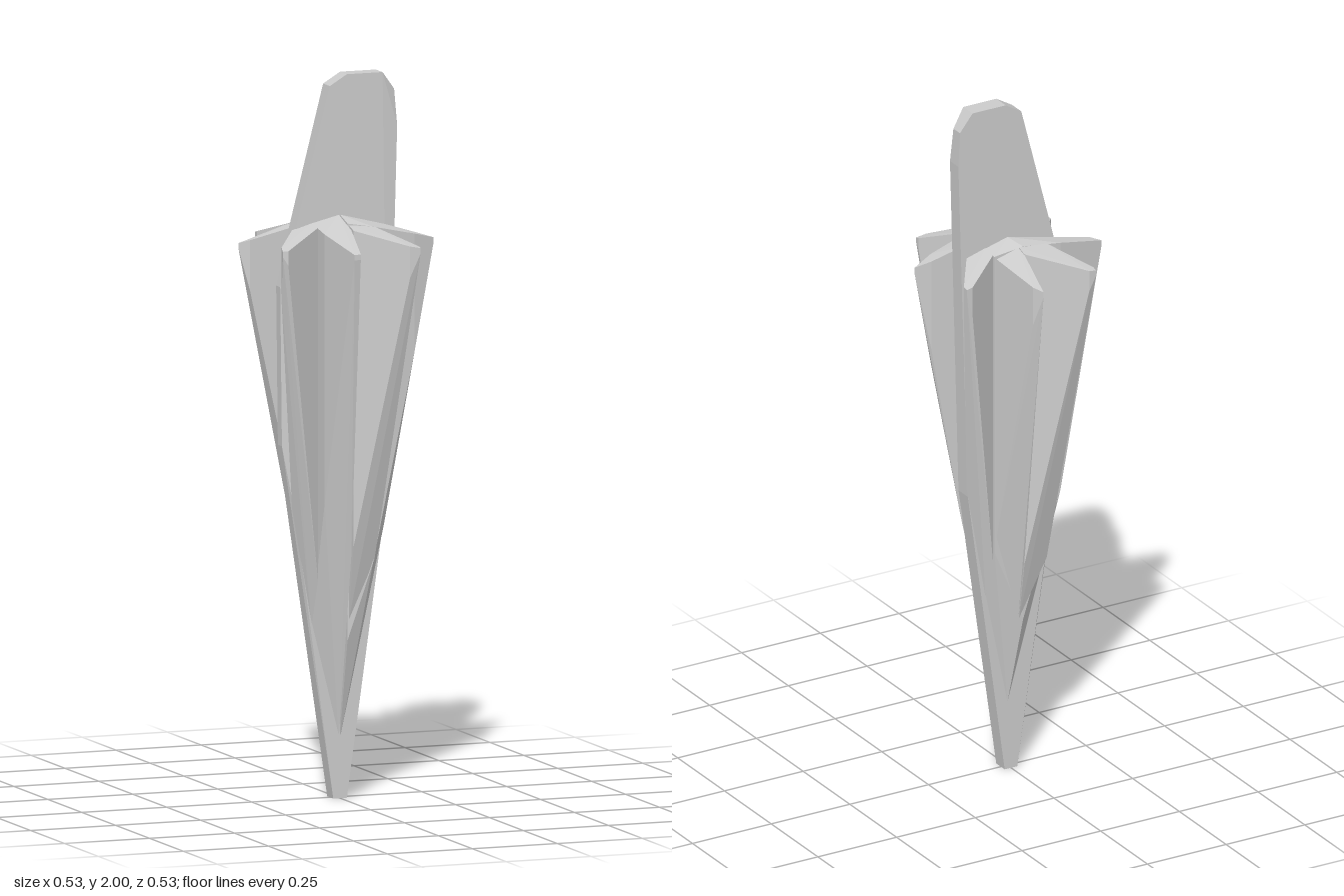
import * as THREE from 'three';
import { ConvexGeometry } from 'three/addons/geometries/ConvexGeometry.js';

const material = new THREE.MeshStandardMaterial({ color: 0xcccccc, flatShading: true });

// Convex faceted solid around a set of points
function addHull(group, name, points) {
  const mesh = new THREE.Mesh(new ConvexGeometry(points), material);
  mesh.name = name;
  group.add(mesh);
}

// Fin from its plan outline [x, z]: a shallow cone cuts the top,
// a steep cone standing on its point cuts the underside.
function addFin(group, name, outline) {
  const points = [];
  for (const [x, z] of outline) {
    const r = Math.hypot(x, z);
    const top = 1.62 - 0.3 * r;
    const bottom = Math.min(Math.max((r - 0.005) / 0.169, 0.16), top - 0.015);
    points.push(new THREE.Vector3(x, top, z), new THREE.Vector3(x, bottom, z));
  }
  addHull(group, name, points);
}

export function createModel() {
  const model = new THREE.Group();
  model.name = 'finnedSpike';

  // Central upright blade: [x, y, back z, front z]
  const blade = [
    [-0.02, 0, -0.02, 0.025], [0.02, 0, -0.02, 0.025],
    [0.14, 0.85, -0.025, 0.025], [0.17, 1.85, -0.025, 0.02],
    [0.165, 1.95, -0.025, 0.01], [0.125, 2, -0.025, 0.025],
    [0.02, 2, -0.025, 0.025], [-0.03, 1.97, -0.025, 0.025],
    [-0.13, 1.58, -0.025, 0.025], [-0.17, 1.42, -0.02, 0.01],
    [-0.165, 0.98, -0.02, 0.01], [-0.13, 0.78, -0.025, 0.025],
  ];
  addHull(model, 'blade', blade.flatMap(([x, y, back, front]) => [
    new THREE.Vector3(x, y, back), new THREE.Vector3(x, y, front),
  ]));

  // Ring of fins swirling round the blade
  const fins = {
    frontFin: [[-0.083, 0.022], [-0.083, 0.12], [-0.053, 0.266], [-0.035, 0.266], [-0.005, 0.12], [-0.003, 0.022]],
    frontLeftFin: [[0, 0.09], [0, 0.125], [0.13, 0.215], [0.16, 0.218], [0.16, 0.205], [0.075, 0.09]],
    leftFin: [[0, 0.022], [0.13, 0.024], [0.22, 0.035], [0.265, 0.05], [0.2, 0.073], [0.07, 0.092], [0, 0.08]],
    backLeftFin: [[0.09, -0.035], [0.15, -0.035], [0.218, -0.135], [0.218, -0.152], [0.2, -0.152], [0.09, -0.075]],
    backFin: [[0.015, -0.085], [0.015, -0.12], [0.043, -0.267], [0.06, -0.24], [0.09, -0.095]],
    backRightFin: [[-0.075, -0.085], [-0.152, -0.205], [-0.152, -0.22], [-0.13, -0.22], [0.013, -0.115], [0.013, -0.085]],
    rightFin: [[-0.267, -0.055], [-0.24, -0.037], [0.02, -0.035], [0.09, -0.037], [0.09, -0.083], [0, -0.085], [-0.12, -0.083]],
    frontRightFin: [[-0.14, 0.022], [-0.21, 0.12], [-0.218, 0.15], [-0.205, 0.158], [-0.083, 0.07], [-0.083, 0.022]],
  };
  for (const [name, outline] of Object.entries(fins)) addFin(model, name, outline);

  return model;
}
